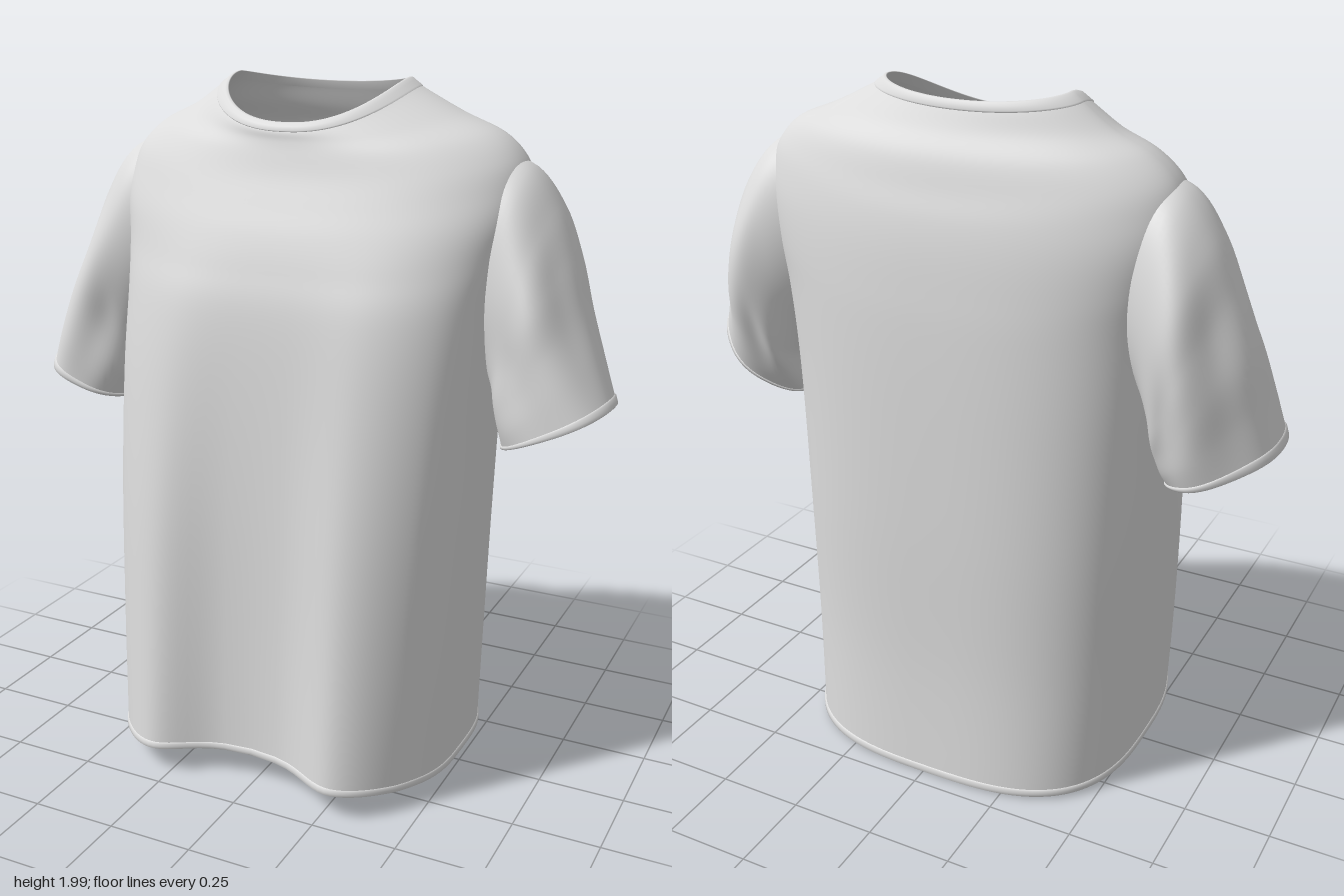
import * as THREE from 'three';

const fabric = new THREE.MeshStandardMaterial({ color: 0xdcdcdc, side: THREE.DoubleSide });
fabric.name = 'light grey fabric';

// Body rings, hem to neck:
// yFront, ySide, yBack, halfWidth, zFront, zSide, zBack, roundness, xCentre, foldDepth, bend
const BODY = [
  [0.085, 0.04, 0.01, 0.515, 0.36, 0, -0.45, 0.58, -0.016, 0.105, 1],
  [0.4, 0.37, 0.36, 0.53, 0.345, 0, -0.43, 0.59, -0.018, 0.085, 1.4],
  [0.8, 0.78, 0.78, 0.542, 0.325, -0.01, -0.425, 0.6, -0.018, 0.06, 2],
  [1.15, 1.15, 1.15, 0.552, 0.3, -0.04, -0.415, 0.63, -0.014, 0.033, 2],
  [1.38, 1.4, 1.38, 0.565, 0.275, -0.08, -0.405, 0.68, -0.005, 0.015, 2],
  [1.5, 1.54, 1.5, 0.59, 0.245, -0.11, -0.395, 0.74, 0, 0.005, 2],
  [1.59, 1.65, 1.6, 0.612, 0.215, -0.12, -0.383, 0.8, 0, 0, 2],
  [1.67, 1.73, 1.68, 0.608, 0.18, -0.125, -0.367, 0.84, 0, 0, 2],
  [1.74, 1.8, 1.75, 0.58, 0.15, -0.13, -0.345, 0.86, 0, 0, 2],
  [1.8, 1.86, 1.83, 0.515, 0.13, -0.135, -0.32, 0.9, 0, 0, 2],
  [1.835, 1.91, 1.895, 0.405, 0.12, -0.14, -0.285, 0.92, -0.01, 0, 1.8],
  [1.86, 1.972, 1.945, 0.3, 0.115, -0.145, -0.262, 0.88, -0.03, 0, 1.5],
  [1.885, 1.997, 1.97, 0.265, 0.1, -0.145, -0.25, 0.88, -0.03, 0, 1.5],
];

// Sleeve rings, shoulder to cuff: xTop, yTop, xUnder, yUnder, zFront, zBack, lean, creaseDepth
const LEFT_SLEEVE = [
  [0.48, 1.82, 0.47, 1.27, 0.04, -0.25, 0, 0],
  [0.607, 1.78, 0.515, 1.215, 0.075, -0.3, 0, 0],
  [0.688, 1.67, 0.545, 1.16, 0.1, -0.335, 0, 0.008],
  [0.742, 1.54, 0.555, 1.12, 0.115, -0.325, 0.01, 0.014],
  [0.79, 1.4, 0.56, 1.075, 0.12, -0.29, 0.02, 0.01],
  [0.84, 1.28, 0.565, 1.04, 0.125, -0.255, 0.03, 0.006],
  [0.89, 1.17, 0.57, 1.01, 0.125, -0.215, 0.04, 0.003],
];
const RIGHT_SLEEVE = [
  [0.48, 1.82, 0.48, 1.28, 0.04, -0.25, 0, 0],
  [0.608, 1.78, 0.53, 1.225, 0.075, -0.3, 0, 0],
  [0.695, 1.665, 0.565, 1.17, 0.095, -0.335, 0, 0.008],
  [0.755, 1.52, 0.58, 1.12, 0.105, -0.335, 0.01, 0.014],
  [0.81, 1.38, 0.588, 1.07, 0.115, -0.325, 0.01, 0.01],
  [0.85, 1.24, 0.6, 1.03, 0.12, -0.31, 0.02, 0.006],
  [0.89, 1.11, 0.61, 1.0, 0.115, -0.29, 0.02, 0.003],
];

// Smooth interpolation between the rows of a table
function sample(rows, v) {
  const last = rows.length - 1;
  const i = Math.min(Math.floor(v), last - 1);
  const t = v - i;
  const at = (k) => rows[Math.max(0, Math.min(last, k))];
  return rows[i].map((b, k) => {
    const c = at(i + 1)[k];
    const m0 = (c - at(i - 1)[k]) / 2;
    const m1 = (at(i + 2)[k] - b) / 2;
    const t2 = t * t, t3 = t2 * t;
    return (2 * t3 - 3 * t2 + 1) * b + (t3 - 2 * t2 + t) * m0 + (3 * t2 - 2 * t3) * c + (t3 - t2) * m1;
  });
}

const power = (n, p) => Math.sign(n) * Math.abs(n) ** p;

// Point on the body, pushed outwards by "off"
function bodyPoint(v, a, off) {
  const [yF, yS, yB, w, zF, zS, zB, p, xc, fold, bend] = sample(BODY, v);
  const c = Math.cos(a), s = Math.sin(a);
  const front = s > 0;
  const round = front ? p : p + 0.09;
  const x = (w + off) * power(c, round);
  let z = zS + ((front ? zF - zS : zS - zB) + off) * power(s, round);
  // two long drapes on the front, falling off gently towards the sides
  if (front) {
    const d = Math.abs(x) - 0.3;
    z += fold * Math.exp(-((d / (d > 0 ? 0.18 : 0.14)) ** 2)) * Math.min(1, s * 1.6);
  }
  const y = yS + ((front ? yF : yB) - yS) * Math.abs(s) ** bend;
  return [xc + x, y, z];
}

// Point on a sleeve, pushed outwards by "off"
function sleevePoint(rows, side, v, a, off) {
  const [xT, yT, xU, yU, zF, zB, lean, crease] = sample(rows, v);
  const c = Math.cos(a), s = Math.sin(a) * side;
  const r = Math.hypot(xT - xU, yT - yU) / 2;
  // creases gathering towards the armpit
  const grow = 1 + (off + crease * Math.sin(5 * Math.atan2(s, c) + 0.8 + v * 0.4)) / r;
  const h = c * grow / 2, k = power(s, 0.9) * grow;
  return [
    side * ((xT + xU) / 2 + (xT - xU) * h),
    (yT + yU) / 2 + (yT - yU) * h,
    (zF + zB) / 2 + ((zF - zB) / 2) * k + lean * c,
  ];
}

// Skin a list of [v, offset] rows around a ring; flip reverses the facing
function loft(name, point, rows, segments, flip) {
  const pos = [], index = [];
  rows.forEach(([v, off], j) => {
    for (let i = 0; i < segments; i++) {
      pos.push(...point(v, (i / segments) * Math.PI * 2, off));
      if (j === 0) continue;
      const n = (i + 1) % segments;
      const a = (j - 1) * segments + i, b = (j - 1) * segments + n;
      const d = j * segments + i, e = j * segments + n;
      if (flip) index.push(a, b, d, b, e, d);
      else index.push(a, d, b, b, d, e);
    }
  });
  const geo = new THREE.BufferGeometry();
  geo.setAttribute('position', new THREE.Float32BufferAttribute(pos, 3));
  geo.setIndex(index);
  geo.computeVertexNormals();
  const mesh = new THREE.Mesh(geo, fabric);
  mesh.name = name;
  return mesh;
}

const span = (end, steps) => Array.from({ length: steps + 1 }, (_, i) => [(end * i) / steps, 0]);

// Cross-section of a stitched band running from inner row "from" to the open edge "to"
function band(from, to, t) {
  const e = (to - from) * 0.12;
  return [[from, 0], [from + e, t], [(from + to) / 2, t], [to - e, t], [to, 0], [to - e, -t], [from, -t]];
}

export function createModel() {
  const shirt = new THREE.Group();
  shirt.name = 'tShirt';

  // Body with hem and collar
  const top = BODY.length - 1;
  shirt.add(loft('body', bodyPoint, span(top, top * 6), 144, false));
  shirt.add(loft('hemBand', bodyPoint, band(0.11, 0, 0.004), 144, true));
  shirt.add(loft('collarBand', bodyPoint, band(top - 1, top, 0.005), 144, false));

  // Sleeves with cuffs, rooted inside the shoulders
  for (const [label, rows, side] of [['left', LEFT_SLEEVE, 1], ['right', RIGHT_SLEEVE, -1]]) {
    const end = rows.length - 1;
    const point = (v, a, off) => sleevePoint(rows, side, v, a, off);
    const sleeve = new THREE.Group();
    sleeve.name = label + 'Sleeve';
    sleeve.add(loft(label + 'SleeveFabric', point, span(end, end * 7), 80, true));
    sleeve.add(loft(label + 'CuffBand', point, band(end - 0.3, end, 0.004), 80, true));
    shirt.add(sleeve);
  }
  return shirt;
}
